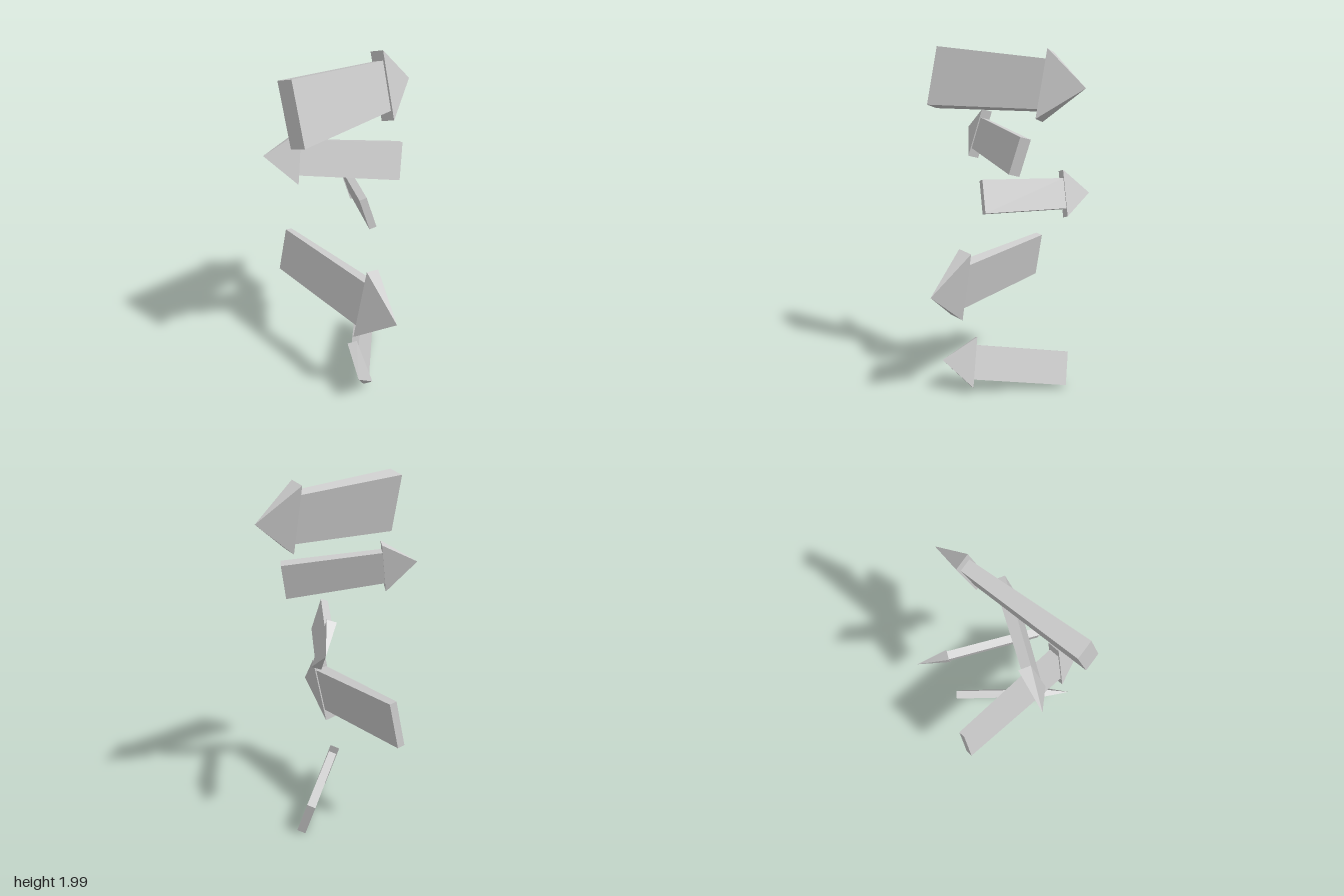
import * as THREE from 'three';

const material = new THREE.MeshStandardMaterial({ color: 0xcccccc, flatShading: true });

// Each arrow: tail centre, tip, direction of its tall side,
// and [height, thickness] of the shaft's tail, its neck and the head's base
const arrows = [
  { tail: [0.09, 1.822, 0.45], tip: [-0.13, 1.78, -0.47], up: [-0.09, 0.33, 0.006],
    sizes: [[0.342, 0.1], [0.275, 0.067], [0.385, 0.09]] },
  { tail: [0.11, 1.417, -0.22], tip: [-0.185, 1.515, 0.47], up: [-0.04, 0.2, -0.045],
    sizes: [[0.21, 0.066], [0.19, 0.052], [0.29, 0.066]] },
  { tail: [0.15, 1.175, 0.022], tip: [-0.485, 1.15, -0.243], up: [-0.025, 0.18, 0.05],
    sizes: [[0.19, 0.042], [0.178, 0.045], [0.275, 0.055]] },
  { tail: [-0.5, 0.7, 0.18], tip: [0.5, 0.655, 0.08], up: [0.01, 0.41, -0.085],
    sizes: [[0.272, 0.045], [0.275, 0.072], [0.42, 0.088]] },
  { tail: [-0.267, 0.108, -0.262], tip: [0.31, 0.205, 0.2], up: [-0.065, 0.19, 0.035],
    sizes: [[0.198, 0.05], [0.2, 0.048], [0.295, 0.058]] },
];

// Tapered box along +z from the origin
function shaftGeometry(length, tail, neck) {
  const geometry = new THREE.BoxGeometry(1, 1, length).translate(0, 0, length / 2);
  const p = geometry.attributes.position;
  for (let i = 0; i < p.count; i++) {
    const [h, t] = p.getZ(i) < length / 2 ? tail : neck;
    p.setXY(i, p.getX(i) * t, p.getY(i) * h);
  }
  geometry.computeVertexNormals();
  return geometry;
}

// Four-sided pyramid pointing along +z
function headGeometry(length, [h, t]) {
  return new THREE.ConeGeometry(Math.SQRT1_2, 1, 4)
    .rotateY(Math.PI / 4)
    .rotateX(Math.PI / 2)
    .translate(0, 0, 0.5)
    .scale(t, h, length);
}

function createArrow({ tail, tip, up, sizes }) {
  const arrow = new THREE.Group();
  const start = new THREE.Vector3(...tail);
  const z = new THREE.Vector3(...tip).sub(start);
  const length = z.length();
  const neckAt = length * 0.745;
  z.normalize();
  const x = new THREE.Vector3(...up).cross(z).normalize();
  const y = z.clone().cross(x);

  const shaft = new THREE.Mesh(shaftGeometry(neckAt, sizes[0], sizes[1]), material);
  shaft.name = 'shaft';
  const head = new THREE.Mesh(headGeometry(length - neckAt, sizes[2]), material);
  head.name = 'head';
  head.position.z = neckAt;

  arrow.add(shaft, head);
  arrow.position.copy(start);
  arrow.quaternion.setFromRotationMatrix(new THREE.Matrix4().makeBasis(x, y, z));
  return arrow;
}

export function createModel() {
  const model = new THREE.Group();
  model.name = 'arrowSigns';
  arrows.forEach((spec, i) => {
    const arrow = createArrow(spec);
    arrow.name = `arrow${i + 1}`;
    model.add(arrow);
  });
  return model;
}
